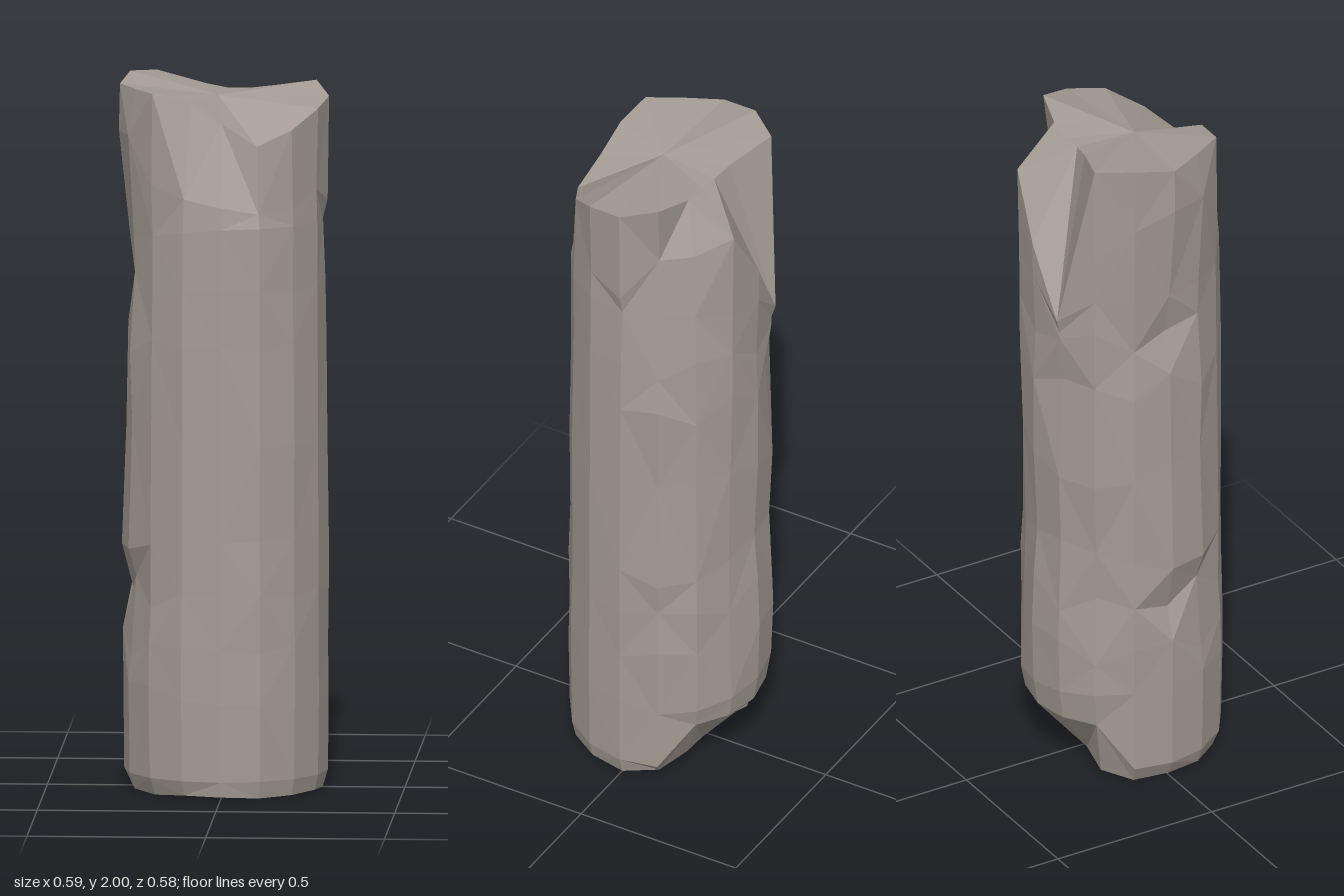
import * as THREE from 'three';

const SIDES = 16;

// Each ring lists [radius, height] every 22.5 degrees, starting at the front and turning toward +x.
const brokenRim = [
  [0.225, 1.90], [0.262, 1.84], [0.275, 1.88], [0.285, 1.93],
  [0.288, 1.95], [0.268, 1.98], [0.19, 1.96], [0.155, 1.95],
  [0.14, 1.95], [0.165, 1.96], [0.29, 1.99], [0.297, 2.0],
  [0.297, 1.98], [0.268, 1.98], [0.277, 1.98], [0.23, 1.96],
];
const shoulder = [
  [0.275, 1.67], [0.275, 1.65], [0.28, 1.66], [0.28, 1.70],
  [0.284, 1.66], [0.24, 1.79], [0.245, 1.80], [0.29, 1.86],
  [0.285, 1.68], [0.295, 1.48], [0.285, 1.70], [0.29, 1.80],
  [0.30, 1.85], [0.29, 1.85], [0.28, 1.72], [0.272, 1.69],
];
const footRadius = [0.28, 0.275, 0.275, 0.275, 0.27, 0.24, 0.185, 0.145,
  0.135, 0.155, 0.22, 0.26, 0.262, 0.27, 0.265, 0.27];

// Chips in the shaft: [angle, height, half angle, half height, depth]
const chips = [
  [118, 1.58, 40, 0.22, 0.045],
  [272, 1.43, 38, 0.16, 0.045],
  [285, 0.56, 34, 0.12, 0.05],
  [225, 0.66, 30, 0.16, 0.03],
  [268, 0.15, 34, 0.15, 0.03],
  [205, 1.18, 30, 0.25, 0.022],
  [160, 0.75, 45, 0.55, 0.018],
];

// Small repeatable unevenness between -1 and 1
const wobble = (i, k) => Math.sin(i * 12.9 + k * 7.3 + i * k * 1.7);

function shaftRadius(i, y, k) {
  const angle = i * 360 / SIDES;
  const rough = angle > 100 && angle < 320 ? 0.006 : 0.002;
  let r = 0.289 - 0.005 * y + rough * wobble(i, k);
  for (const [a, h, da, dh, depth] of chips) {
    const u = Math.abs(angle - a) / da, v = Math.abs(y - h) / dh;
    r -= depth * Math.max(0, 1 - u) * Math.max(0, 1 - v);
  }
  return r;
}

function shaftRing(height, k) {
  return shoulder.map(([, top], i) => {
    const angle = i * 360 / SIDES;
    const rough = angle > 100 && angle < 320 ? 0.04 : 0.01;
    const y = Math.min(height + rough * wobble(i + 3, k), top - 0.04 - 0.02 * k);
    return [shaftRadius(i, y, k), y];
  });
}

function buildStone() {
  const rings = [brokenRim, shoulder];
  [1.6, 1.43, 1.27, 1.0, 0.72, 0.57, 0.42, 0.27].forEach((y, k) => rings.push(shaftRing(y, k)));

  // Lower edge, chamfered high at the back
  rings.push(footRadius.map((r, i) => {
    const back = i >= 6 && i <= 10;
    return [back ? 0.268 : 0.285, back ? 0.18 : 0.05];
  }));
  rings.push(footRadius.map((r, i) => [r, i >= 6 && i <= 9 ? 0.03 : 0.004 + 0.004 * wobble(i, 2)]));

  const positions = [], index = [];
  for (const ring of rings) {
    ring.forEach(([r, y], i) => {
      const t = i * Math.PI * 2 / SIDES;
      positions.push(r * Math.sin(t), y, r * Math.cos(t));
    });
  }
  // Side facets, with alternating diagonals
  for (let k = 0; k < rings.length - 1; k++) {
    for (let i = 0; i < SIDES; i++) {
      const j = (i + 1) % SIDES;
      const d = k * SIDES + i, c = k * SIDES + j, a = d + SIDES, b = c + SIDES;
      if ((i + k) % 2) index.push(a, b, c, a, c, d);
      else index.push(a, b, d, b, c, d);
    }
  }
  // Top and underside fans
  const topCentre = positions.length / 3, last = (rings.length - 1) * SIDES;
  positions.push(-0.02, 1.955, 0.035, 0, 0.004, 0.05);
  for (let i = 0; i < SIDES; i++) {
    const j = (i + 1) % SIDES;
    index.push(topCentre, i, j, topCentre + 1, last + j, last + i);
  }

  const indexed = new THREE.BufferGeometry();
  indexed.setAttribute('position', new THREE.Float32BufferAttribute(positions, 3));
  indexed.setIndex(index);
  const geometry = indexed.toNonIndexed(); // separate faces give flat facets
  geometry.computeVertexNormals();
  return geometry;
}

export function createModel() {
  const stone = new THREE.MeshStandardMaterial({ color: 0xa39b93 });
  stone.name = 'warm grey stone';
  const column = new THREE.Mesh(buildStone(), stone);
  column.name = 'brokenStoneColumn';
  const model = new THREE.Group();
  model.name = 'stonePillar';
  model.add(column);
  return model;
}
